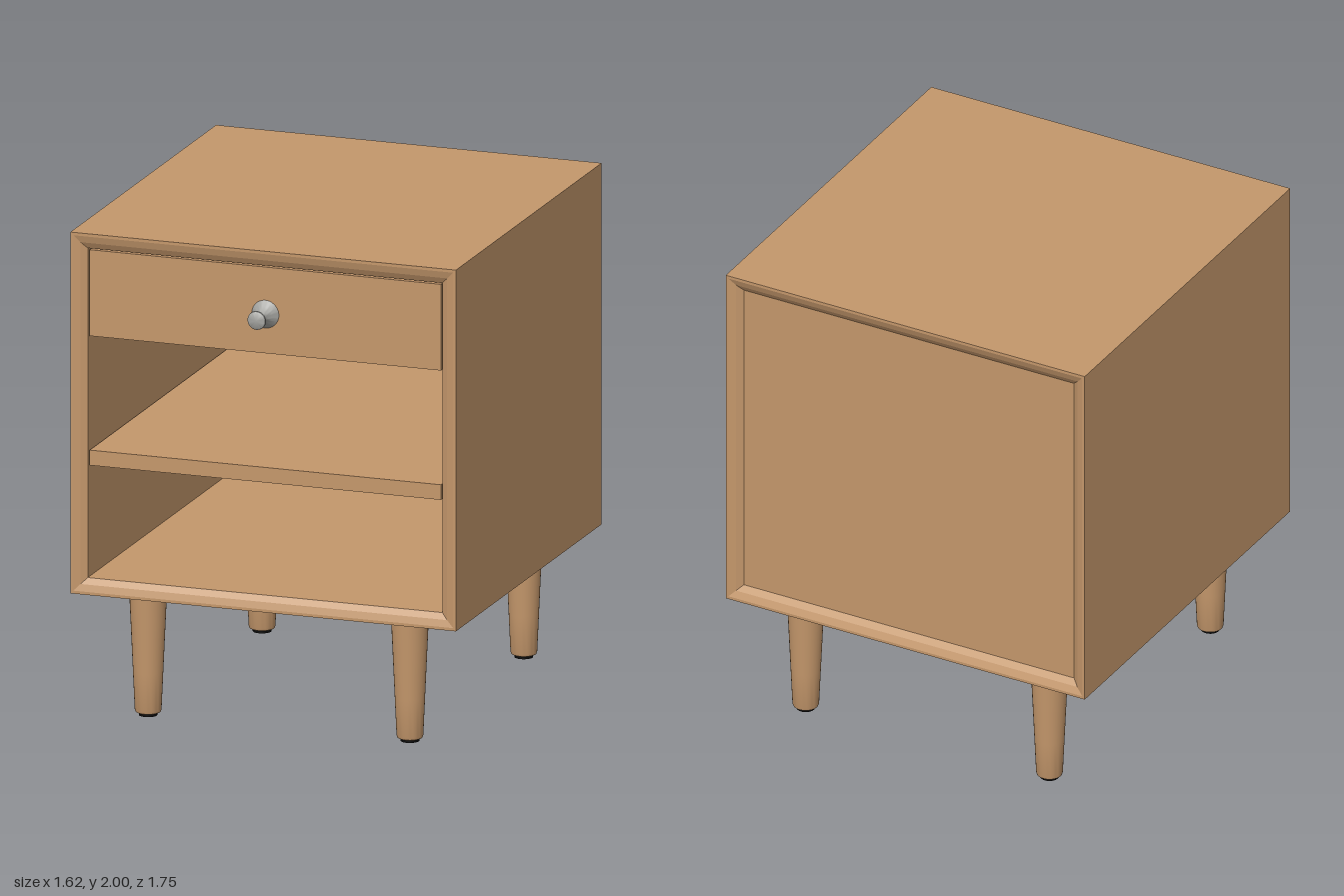
import * as THREE from 'three';
import { toCreasedNormals } from 'three/addons/utils/BufferGeometryUtils.js';

export function createModel() {
  const model = new THREE.Group();
  model.name = 'nightstand';

  const material = (name, color) => {
    const m = new THREE.MeshStandardMaterial({ color });
    m.name = name;
    return m;
  };
  const wood = material('wood', 0xc4976b);
  const metal = material('metal', 0xa6a6a2);
  const black = material('black', 0x0a0a0a);

  const add = (name, geometry, mat, x = 0, y = 0, z = 0, parent = model) => {
    const mesh = new THREE.Mesh(geometry, mat);
    mesh.name = name;
    mesh.position.set(x, y, z);
    parent.add(mesh);
    return mesh;
  };

  // Box given by its limits on each axis
  const slab = (name, mat, [x0, x1], [y0, y1], [z0, z1]) =>
    add(name, new THREE.BoxGeometry(x1 - x0, y1 - y0, z1 - z0), mat,
      (x0 + x1) / 2, (y0 + y1) / 2, (z0 + z1) / 2);

  // Lathe with sharp edges kept
  const turned = (points, sides) => toCreasedNormals(
    new THREE.LatheGeometry(points.map(([r, y]) => new THREE.Vector2(r, y)), sides), 0.6);

  // Open cabinet case: a wall section [inset, z] carried around the rectangle,
  // with rims that slope in towards the front and back openings
  const section = [
    [0, -0.88], [0, 0.79], [0.012, 0.79], [0.04, 0.782], [0.065, 0.768],
    [0.065, -0.85], [0.04, -0.868], [0.012, -0.88], [0, -0.88],
  ];
  const ring = ([d, z]) => [
    [-0.81 + d, 0.52 + d, z], [0.81 - d, 0.52 + d, z],
    [0.81 - d, 2 - d, z], [-0.81 + d, 2 - d, z],
  ];
  const positions = [];
  for (let i = 0; i < section.length - 1; i++) {
    const p = ring(section[i]), q = ring(section[i + 1]);
    for (let j = 0; j < 4; j++) {
      const k = (j + 1) % 4;
      positions.push(...p[j], ...p[k], ...q[k], ...p[j], ...q[k], ...q[j]);
    }
  }
  const caseGeometry = new THREE.BufferGeometry();
  caseGeometry.setAttribute('position', new THREE.Float32BufferAttribute(positions, 3));
  caseGeometry.computeVertexNormals();
  add('cabinetCase', caseGeometry, wood);

  // Back panel, shelf and drawer
  slab('backPanel', wood, [-0.745, 0.745], [0.585, 1.935], [-0.85, -0.82]);
  slab('shelf', wood, [-0.738, 0.738], [1.045, 1.107], [-0.82, 0.765]);
  slab('drawer', wood, [-0.738, 0.738], [1.575, 1.928], [-0.82, 0.765]);

  // Drawer knob with flared base and domed disc
  const knob = turned([
    [0.058, 0], [0.052, 0.006], [0.036, 0.022], [0.024, 0.036], [0.017, 0.052], [0.015, 0.07],
    [0.018, 0.084], [0.034, 0.092], [0.038, 0.097], [0.037, 0.104], [0.03, 0.109], [0, 0.111],
  ], 40);
  knob.rotateX(Math.PI / 2);
  add('knob', knob, metal, 0, 1.735, 0.764);

  // Tapered legs, each with a mounting plate reaching inwards and a foot pad
  const legGeometry = turned([
    [0, 0.012], [0.044, 0.012], [0.05, 0.015], [0.053, 0.024], [0.06, 0.18], [0.07, 0.4], [0.075, 0.507],
  ], 32);
  const plateGeometry = new THREE.BoxGeometry(0.22, 0.013, 0.29);
  const padGeometry = new THREE.CylinderGeometry(0.037, 0.037, 0.014, 24);
  for (const side of [-1, 1]) {
    for (const [end, z, plateShift] of [['front', 0.608, -0.06], ['back', -0.698, 0.063]]) {
      const leg = new THREE.Group();
      leg.name = end + (side > 0 ? 'Left' : 'Right') + 'Leg';
      leg.position.set(side * 0.55, 0, z);
      add('legPost', legGeometry, wood, 0, 0, 0, leg);
      add('mountingPlate', plateGeometry, black, 0, 0.5135, plateShift, leg);
      add('footPad', padGeometry, black, 0, 0.007, 0, leg);
      model.add(leg);
    }
  }

  return model;
}
